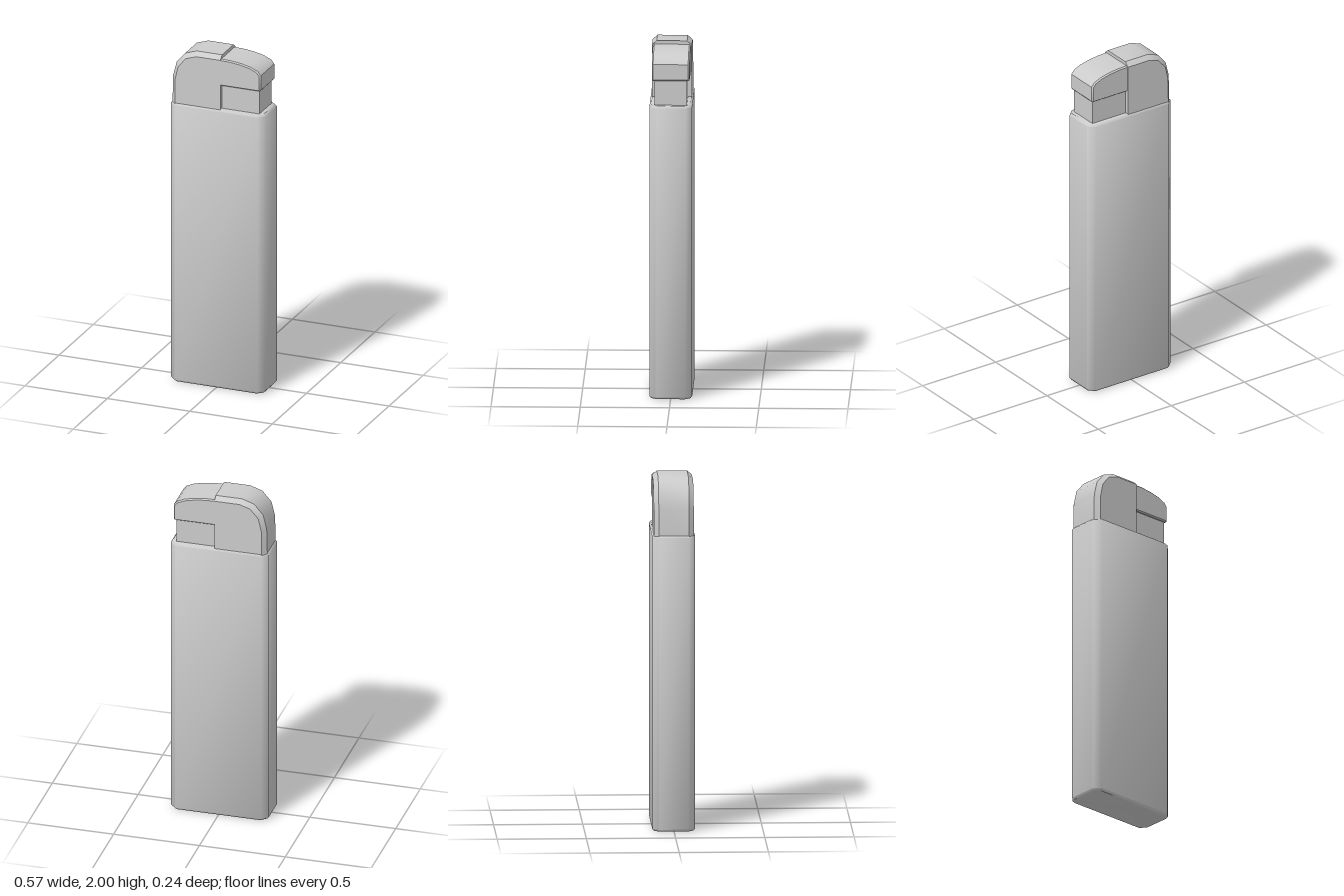
import * as THREE from 'three';
import { toCreasedNormals } from 'three/addons/utils/BufferGeometryUtils.js';

const material = new THREE.MeshStandardMaterial({ color: 0xcccccc });

// Closed solid through convex rings of equal point count; rings run
// counter-clockwise when seen from the end of the stack.
function loft(name, rings, crease) {
  const n = rings[0].length;
  const pos = [];
  const tri = (a, b, c) => pos.push(...a, ...b, ...c);
  for (let r = 0; r + 1 < rings.length; r++) {
    const a = rings[r], b = rings[r + 1];
    for (let i = 0; i < n; i++) {
      const j = (i + 1) % n;
      tri(a[i], a[j], b[j]);
      tri(a[i], b[j], b[i]);
    }
  }
  const first = rings[0], last = rings[rings.length - 1];
  for (let i = 1; i + 1 < n; i++) {
    tri(first[0], first[i + 1], first[i]);
    tri(last[0], last[i], last[i + 1]);
  }
  const geo = new THREE.BufferGeometry();
  geo.setAttribute('position', new THREE.Float32BufferAttribute(pos, 3));
  const mesh = new THREE.Mesh(toCreasedNormals(geo, crease), material);
  mesh.name = name;
  return mesh;
}

// Octagonal horizontal section with 45 degree corners
function octagon(w, d, c, y) {
  return [
    [w, y, d - c], [w, y, c - d], [w - c, y, -d], [c - w, y, -d],
    [-w, y, c - d], [-w, y, d - c], [c - w, y, d], [w - c, y, d],
  ];
}

// Side profile placed at depth z
const at = (profile, z) => profile.map(([x, y]) => [x, y, z]);

// Symmetric front-to-back solid whose front and back edges are bevelled
function bevelled(name, outer, inner, zOuter, zInner, crease) {
  return loft(name, [
    at(inner, -zInner), at(outer, -zOuter), at(outer, zOuter), at(inner, zInner),
  ], crease);
}

export function createModel() {
  const group = new THREE.Group();

  // Tall body with fine bevels at top and bottom
  group.add(loft('body', [
    octagon(0.275, 0.11, 0.031, 0),
    octagon(0.285, 0.12, 0.035, 0.012),
    octagon(0.285, 0.12, 0.035, 1.668),
    octagon(0.275, 0.11, 0.031, 1.68),
  ], 0.82));

  // Rounded hood with broad bevels
  const hoodOuter = [
    [0.024, 1.66], [0.024, 2], [-0.13, 2], [-0.2, 1.976],
    [-0.252, 1.915], [-0.273, 1.83], [-0.277, 1.66],
  ];
  const hoodInner = [
    [0.024, 1.66], [0.024, 1.976], [-0.122, 1.976], [-0.185, 1.955],
    [-0.232, 1.9], [-0.25, 1.82], [-0.252, 1.66],
  ];
  group.add(bevelled('hood', hoodOuter, hoodInner, 0.085, 0.112, 0.55));

  // Press button with a curved top
  const buttonOuter = [
    [0.02, 1.82], [0.258, 1.82], [0.264, 1.827], [0.264, 1.915],
    [0.245, 1.938], [0.2, 1.958], [0.14, 1.971], [0.08, 1.978], [0.02, 1.98],
  ];
  const buttonInner = [
    [0.02, 1.826], [0.253, 1.826], [0.257, 1.831], [0.257, 1.911],
    [0.24, 1.932], [0.197, 1.951], [0.139, 1.964], [0.08, 1.971], [0.02, 1.973],
  ];
  group.add(bevelled('button', buttonOuter, buttonInner, 0.098, 0.106, 0.6));

  // Recessed neck under the button
  const neck = new THREE.Mesh(new THREE.BoxGeometry(0.236, 0.17, 0.18), material);
  neck.name = 'neck';
  neck.position.set(0.134, 1.745, 0);
  group.add(neck);

  return group;
}
